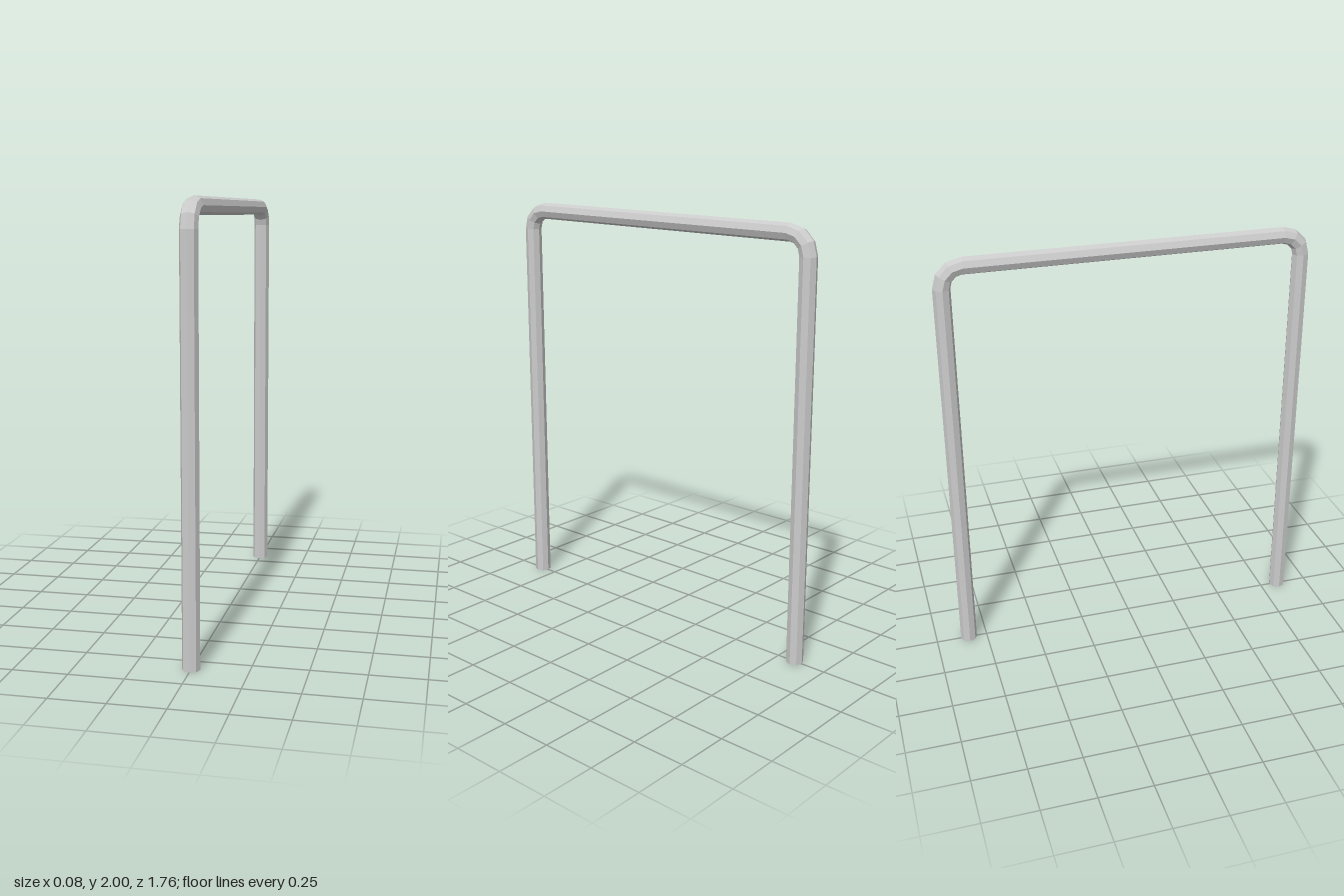
import * as THREE from 'three';

const SIDES = 8, RADIUS = 0.04, BEND = 0.095, BEND_STEPS = 3;
const LEG_Z = 0.84, BAR_Y = 1.96;

// Path stations: position in the YZ plane and heading (0 = up, PI = down)
function pathStations() {
  const stations = [{ y: 0, z: LEG_Z, angle: 0 }];
  for (const side of [1, -1]) {
    for (let i = 0; i <= BEND_STEPS; i++) {
      const angle = (side > 0 ? 0 : Math.PI / 2) + (i / BEND_STEPS) * Math.PI / 2;
      stations.push({
        y: BAR_Y - BEND + BEND * Math.sin(angle),
        z: side * (LEG_Z - BEND) + BEND * Math.cos(angle),
        angle,
      });
    }
  }
  stations.push({ y: 0, z: -LEG_Z, angle: Math.PI });
  return stations;
}

// Octagonal pipe swept along the stations, closed at both feet
function pipeGeometry(stations) {
  const positions = [], index = [];
  for (const { y, z, angle } of stations) {
    for (let j = 0; j < SIDES; j++) {
      const a = (j / SIDES) * Math.PI * 2;
      const out = RADIUS * Math.cos(a);
      positions.push(RADIUS * Math.sin(a), y + out * Math.sin(angle), z + out * Math.cos(angle));
    }
  }
  const last = (stations.length - 1) * SIDES;
  for (let j = 0; j < SIDES; j++) {
    const k = (j + 1) % SIDES;
    for (let r = 0; r < last; r += SIDES) {
      index.push(r + j, r + k, r + SIDES + k, r + j, r + SIDES + k, r + SIDES + j);
    }
    // End caps as fans from the first corner
    if (j > 0 && k > 0) index.push(0, k, j, last, last + j, last + k);
  }
  const geometry = new THREE.BufferGeometry();
  geometry.setAttribute('position', new THREE.Float32BufferAttribute(positions, 3));
  geometry.setIndex(index);
  const flat = geometry.toNonIndexed();
  flat.computeVertexNormals();
  return flat;
}

export function createModel() {
  const group = new THREE.Group();
  group.name = 'hoopBarrier';
  const material = new THREE.MeshStandardMaterial({ color: 0xcccccc, flatShading: true });
  const pipe = new THREE.Mesh(pipeGeometry(pathStations()), material);
  pipe.name = 'bentPipe';
  group.add(pipe);
  return group;
}
